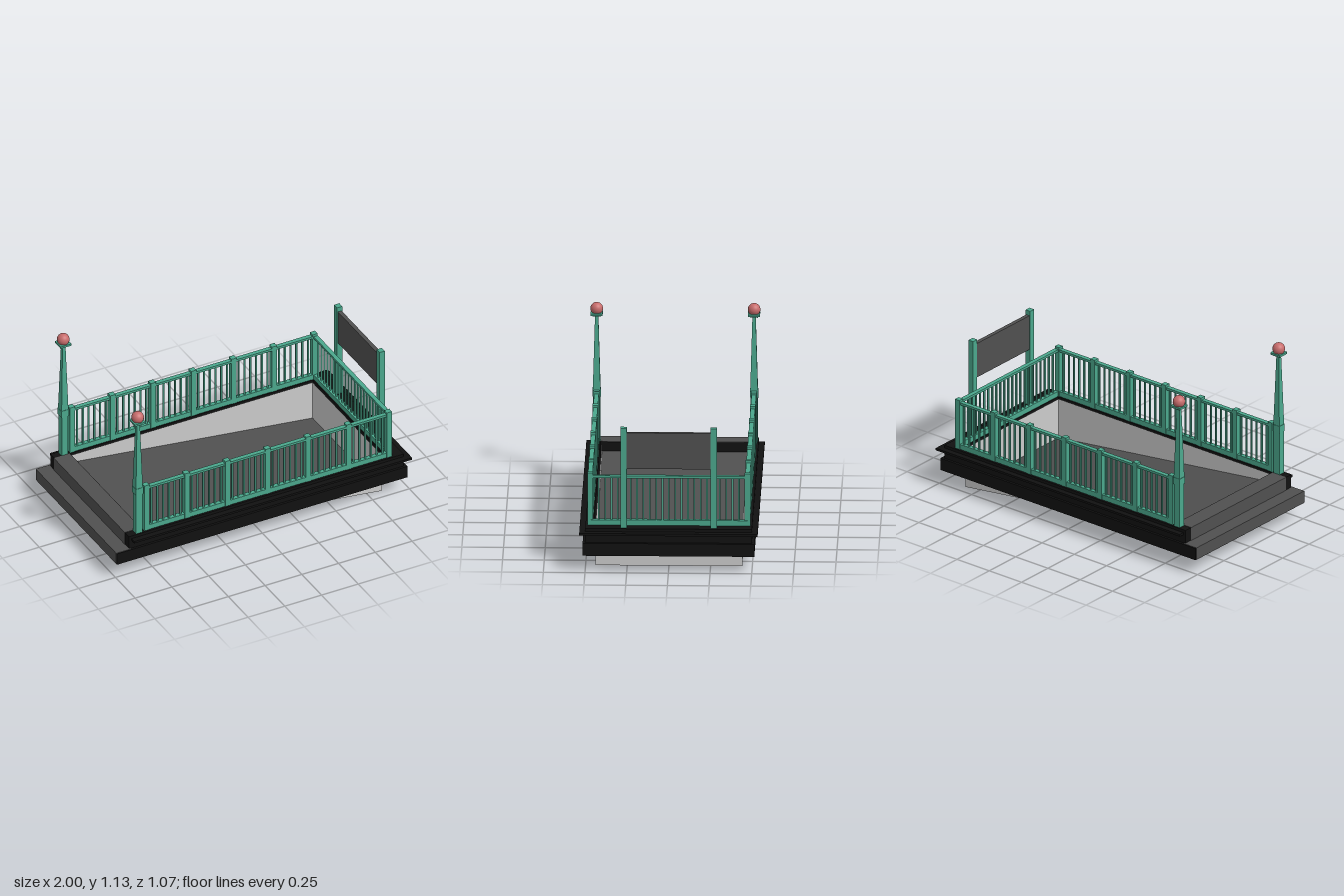
import * as THREE from 'three';

const mat = (color, side = THREE.FrontSide) => new THREE.MeshStandardMaterial({ color, side });

export function createModel() {
  const model = new THREE.Group();
  const green = mat(0x4ba88d), black = mat(0x111111), dark = mat(0x505050);
  const darkThin = mat(0x505050, THREE.DoubleSide);
  const grey = mat(0xcccccc, THREE.DoubleSide);
  const red = mat(0xc86c6c);

  const add = (parent, name, geometry, material, x = 0, y = 0, z = 0) => {
    const mesh = new THREE.Mesh(geometry, material);
    mesh.name = name;
    mesh.position.set(x, y, z);
    parent.add(mesh);
    return mesh;
  };
  // Box given by its minimum and maximum on each axis
  const box = (parent, name, material, x0, x1, y0, y1, z0, z1) =>
    add(parent, name, new THREE.BoxGeometry(x1 - x0, y1 - y0, z1 - z0), material,
      (x0 + x1) / 2, (y0 + y1) / 2, (z0 + z1) / 2);
  const group = (name) => {
    const g = new THREE.Group();
    g.name = name;
    model.add(g);
    return g;
  };
  const rect = (Type, x0, x1, hz) => new Type([[x0, -hz], [x1, -hz], [x1, hz], [x0, hz]]
    .map(([x, z]) => new THREE.Vector2(x, z)));

  // Curb: stacked rectangular frames around the stair opening
  const curb = group('curb');
  const frame = (name, x0, x1, hz, y0, y1) => {
    const shape = rect(THREE.Shape, x0, x1, hz);
    shape.holes.push(rect(THREE.Path, -0.8, 0.855, 0.45));
    const geometry = new THREE.ExtrudeGeometry(shape, { depth: y1 - y0, bevelEnabled: false });
    add(curb, name, geometry.rotateX(-Math.PI / 2), black, 0, y0, 0);
  };
  frame('curbBase', -0.997, 0.98, 0.515, 0.1, 0.178);
  frame('curbTop', -0.907, 0.96, 0.5, 0.178, 0.265);
  frame('curbLedge', -0.89, 1, 0.535, 0.232, 0.246);

  // Entrance steps at the open end
  box(curb, 'lowerStep', dark, -1, -0.9, 0.103, 0.181, -0.51, 0.51);
  box(curb, 'upperStep', dark, -0.91, -0.803, 0.178, 0.267, -0.45, 0.45);

  // Sunken well: sloping floor, tapering side walls and end walls
  const well = group('well');
  const [wx0, wx1, wy0, top, wz] = [-0.8, 0.845, 0.206, 0.258, 0.44];
  const slope = add(well, 'slopingFloor',
    new THREE.PlaneGeometry(Math.hypot(wx1 - wx0, wy0), 2 * wz).rotateX(-Math.PI / 2),
    darkThin, (wx0 + wx1) / 2, wy0 / 2, 0);
  slope.rotation.z = -Math.atan2(wy0, wx1 - wx0);
  const side = new THREE.ShapeGeometry(new THREE.Shape(
    [[wx0, wy0], [wx1, 0], [wx1, top], [wx0, top]].map(([x, y]) => new THREE.Vector2(x, y))));
  for (const s of [-1, 1]) add(well, 'wellSideWall', side, grey, 0, 0, s * wz);
  add(well, 'wellEndWall', new THREE.PlaneGeometry(2 * wz, top).rotateY(-Math.PI / 2), grey, wx1, top / 2, 0);

  // Railings: two long sides and the closed end
  const railing = group('railing');
  const [rz, rx, first, pitch] = [0.472, 0.875, -0.78, 0.275];
  const post = (x, z) => box(railing, 'railingPost', green,
    x - 0.017, x + 0.017, 0.265, 0.59, z - 0.017, z + 0.017);
  const baluster = (x, z) => box(railing, 'baluster', green,
    x - 0.005, x + 0.005, 0.295, 0.565, z - 0.005, z + 0.005);
  for (const s of [-1, 1]) {
    const z = s * rz;
    box(railing, 'bottomRail', green, first, rx, 0.265, 0.298, z - 0.014, z + 0.014);
    box(railing, 'topRail', green, first, rx, 0.56, 0.575, z - 0.014, z + 0.014);
    for (let i = 0; i < 7; i++) {
      post(first + i * pitch, z);
      for (let j = 1; j < 7 && i < 6; j++) baluster(first + (i + j / 7) * pitch, z);
    }
  }
  box(railing, 'endBottomRail', green, rx - 0.014, rx + 0.014, 0.265, 0.298, -rz, rz);
  box(railing, 'endTopRail', green, rx - 0.014, rx + 0.014, 0.56, 0.575, -rz, rz);
  for (let i = -11; i <= 11; i++) baluster(rx, i * 0.0382);

  // Lamp columns flanking the entrance
  for (const s of [-1, 1]) {
    const lamp = group('lampColumn');
    lamp.position.set(-0.834, 0, s * rz);
    const block = (name, w, y0, y1) => box(lamp, name, green, -w / 2, w / 2, y0, y1, -w / 2, w / 2);
    block('columnBase', 0.043, 0.265, 0.55);
    block('columnCollar', 0.051, 0.545, 0.59);
    const shaft = new THREE.CylinderGeometry(0.01 * Math.SQRT2, 0.023 * Math.SQRT2, 0.46, 4, 1)
      .rotateY(Math.PI / 4).toNonIndexed();
    shaft.computeVertexNormals();
    add(lamp, 'columnShaft', shaft, green, 0, 0.82, 0);
    block('columnNeck', 0.05, 1.047, 1.055);
    block('columnCap', 0.072, 1.055, 1.068);
    add(lamp, 'lampGlobe', new THREE.SphereGeometry(0.038, 32, 20), red, 0, 1.092, 0);
  }

  // Blank sign board on two posts behind the closed end
  const sign = group('sign');
  for (const s of [-1, 1])
    box(sign, 'signPost', green, 0.911, 0.946, 0.265, 0.89, s * 0.27 - 0.019, s * 0.27 + 0.019);
  box(sign, 'signBoard', dark, 0.916, 0.941, 0.635, 0.86, -0.252, 0.252);

  return model;
}
